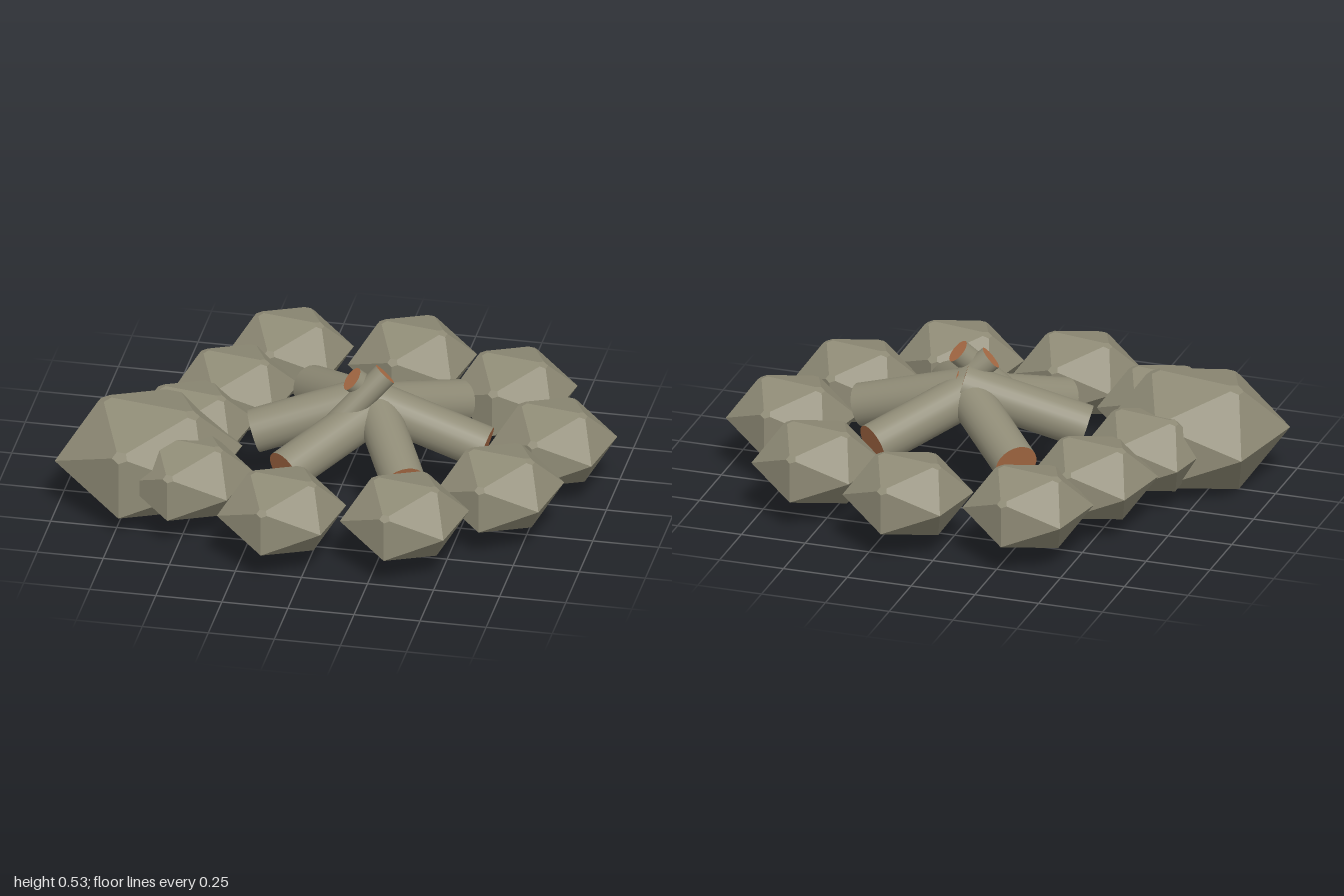
import * as THREE from 'three';
import { ConvexGeometry } from 'three/addons/geometries/ConvexGeometry.js';

// Squashed icosahedral boulder whose upper corners are chipped off
function stoneGeometry() {
  const t = (1 + Math.sqrt(5)) / 2;
  const corners = [];
  for (const a of [-1, 1]) {
    for (const b of [-t, t]) {
      corners.push(new THREE.Vector3(a, b, 0));
      corners.push(new THREE.Vector3(0, a, b));
      corners.push(new THREE.Vector3(b, 0, a));
    }
  }
  const points = [];
  for (const c of corners) {
    if (c.y <= 0.1) {
      points.push(c.clone());
      continue;
    }
    for (const n of corners) {
      if (n !== c && n.distanceTo(c) < 2.1) points.push(c.clone().lerp(n, 0.1));
    }
  }
  const geometry = new ConvexGeometry(points);
  geometry.scale(0.1855, 0.1267, 0.1855);
  geometry.rotateY(-0.18);
  return geometry;
}

export function createModel() {
  const model = new THREE.Group();
  model.name = 'campfire';

  const stone = new THREE.MeshStandardMaterial({ color: 0x8f8b76 });
  stone.name = 'greyBrown';
  const cutWood = new THREE.MeshStandardMaterial({ color: 0xb07048 });
  cutWood.name = 'cutWood';

  // Ring of stones: x, z
  const rockShape = stoneGeometry();
  const ring = new THREE.Group();
  ring.name = 'stoneRing';
  const places = [
    [-0.325, -0.61], [0.135, -0.64], [0.55, -0.47], [0.775, -0.105], [0.655, 0.29],
    [0.355, 0.58], [-0.1, 0.63], [-0.495, 0.43], [-0.565, 0.03], [-0.465, -0.28],
  ];
  for (const [x, z] of places) {
    const rock = new THREE.Mesh(rockShape, stone);
    rock.name = 'ringStone';
    rock.position.set(x, 0.2075, z);
    rock.scale.setScalar(0.69);
    ring.add(rock);
  }
  model.add(ring);

  // One larger boulder on the ring
  const boulder = new THREE.Mesh(rockShape, stone);
  boulder.name = 'largeStone';
  boulder.position.set(-0.675, 0.205, 0.28);
  model.add(boulder);

  // Log between two points, with cut wood on both ends
  const up = new THREE.Vector3(0, 1, 0);
  function addLog(name, from, to, radius) {
    const a = new THREE.Vector3(...from);
    const b = new THREE.Vector3(...to);
    const dir = b.clone().sub(a);
    const geometry = new THREE.CylinderGeometry(radius, radius, dir.length(), 24);
    const log = new THREE.Mesh(geometry, [stone, cutWood, cutWood]);
    log.name = name;
    log.position.copy(a).add(b).multiplyScalar(0.5);
    log.quaternion.setFromUnitVectors(up, dir.normalize());
    model.add(log);
  }

  // Outer logs leaning together at the middle
  const outerLogs = [
    [[-0.175, 0.23, -0.31], [0.1, 0.34, -0.02]],
    [[0.385, 0.23, -0.31], [0.12, 0.35, 0.0]],
    [[0.55, 0.23, 0.035], [0.13, 0.36, 0.01]],
    [[0.31, 0.22, 0.36], [0.14, 0.34, 0.03]],
    [[-0.145, 0.22, 0.35], [0.12, 0.34, 0.03]],
    [[-0.315, 0.24, 0.09], [0.14, 0.385, -0.01]],
  ];
  for (const [from, to] of outerLogs) addLog('outerLog', from, to, 0.083);

  // Two thin logs crossing steeply through the pile
  addLog('crossLog', [-0.13, 0.18, 0.2], [0.17, 0.5, 0.035], 0.047);
  addLog('crossLog', [0.37, 0.19, -0.07], [0.05, 0.48, 0.06], 0.047);

  return model;
}
